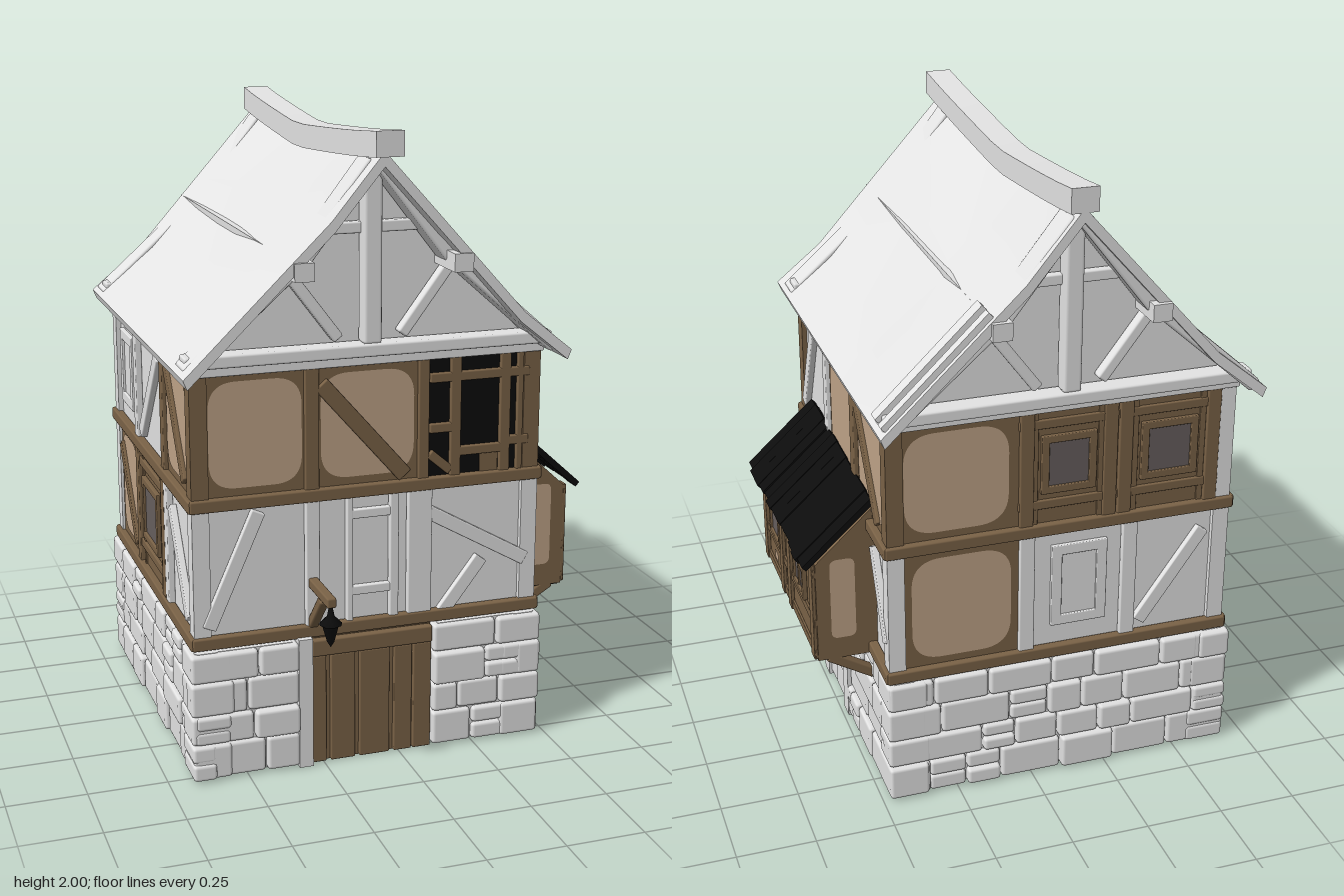
import * as THREE from 'three';
import { toCreasedNormals } from 'three/addons/utils/BufferGeometryUtils.js';
import { RoundedBoxGeometry } from 'three/addons/geometries/RoundedBoxGeometry.js';

const mat = (name, color) => Object.assign(new THREE.MeshStandardMaterial({ color }), { name });

export function createModel() {
  const pale = mat('pale grey', 0xe4e4e4), wood = mat('brown wood', 0x7b6347), tan = mat('tan plaster', 0xc0a488);
  const black = mat('black', 0x0c0c0c), glass = mat('window grey', 0x675f5e);
  const model = new THREE.Group();
  model.name = 'timberHouse';
  let seed = 7;
  const rnd = () => (seed = (seed * 16807) % 2147483647) / 2147483647;

  const add = (parent, name, geo, m, x = 0, y = 0, z = 0) => {
    const mesh = new THREE.Mesh(geo, m);
    mesh.name = name;
    mesh.position.set(x, y, z);
    parent.add(mesh);
    return mesh;
  };
  const box = (p, name, m, x0, x1, y0, y1, z0, z1) =>
    add(p, name, new THREE.BoxGeometry(x1 - x0, y1 - y0, z1 - z0), m, (x0 + x1) / 2, (y0 + y1) / 2, (z0 + z1) / 2);
  // Timber between two points of a wall, d = how far it stands out
  const bar = (p, m, u1, y1, u2, y2, w = 0.045, d = 0.022, z = 0) => {
    const len = Math.hypot(u2 - u1, y2 - y1);
    const b = add(p, 'timber', new RoundedBoxGeometry(len, w, d, 1, Math.min(w, d) * 0.2), m, (u1 + u2) / 2, (y1 + y2) / 2, z + d / 2);
    b.rotation.z = Math.atan2(y2 - y1, u2 - u1);
  };
  const plate = (p, name, m, u0, u1, y0, y1, z = 0) => box(p, name, m, u0, u1, y0, y1, z, z + 0.008);
  // Rounded patch of tan plaster
  const patch = (p, u0, u1, y0, y1, z = 0.011) => {
    const r = Math.min(u1 - u0, y1 - y0) * 0.3, s = new THREE.Shape();
    s.moveTo(u0 + r, y0).lineTo(u1 - r, y0).quadraticCurveTo(u1, y0, u1, y0 + r).lineTo(u1, y1 - r);
    s.quadraticCurveTo(u1, y1, u1 - r, y1).lineTo(u0 + r, y1).quadraticCurveTo(u0, y1, u0, y1 - r);
    s.lineTo(u0, y0 + r).quadraticCurveTo(u0, y0, u0 + r, y0);
    add(p, 'plasterPatch', new THREE.ShapeGeometry(s), tan, 0, 0, z);
  };
  const tanBay = (p, u0, u1, y0, y1) => {
    plate(p, 'panelEdge', wood, u0, u1, y0, y1);
    patch(p, u0 + 0.03, u1 - 0.03, y0 + 0.03, y1 - 0.03);
  };
  // Framed window: four bars around a thin pane
  const windowFrame = (p, m, u0, u1, y0, y1, z = 0.008, w = 0.025) => {
    plate(p, 'pane', m === wood ? glass : pale, u0, u1, y0, y1, z);
    for (const u of [u0, u1]) bar(p, m, u, y0 - w / 2, u, y1 + w / 2, w, 0.016, z);
    for (const y of [y0, y1]) bar(p, m, u0, y, u1, y, w, 0.016, z);
  };
  const windowBay = (p, u0, u1, y0, y1) => {
    const c = (u0 + u1) / 2, h = (u1 - u0) * 0.24;
    plate(p, 'boarding', wood, u0, u1, y0, y1);
    for (const u of [u0 + 0.025, u1 - 0.025]) bar(p, wood, u, y0, u, y1, 0.045);
    for (const s of [-1, 1]) bar(p, wood, c + s * (h + 0.03), y0, c + s * (h + 0.03), y1, 0.02, 0.014);
    for (const y of [y0 + 0.07, y1 - 0.05]) bar(p, wood, u0, y, u1, y, 0.03, 0.018);
    windowFrame(p, wood, c - h, c + h, y0 + 0.12, y1 - 0.1);
  };

  // House core and the four wall frames (local x runs along each wall, local z points out)
  box(model, 'plasterCore', pale, -0.64, 0.45, 0.42, 1.31, -0.59, 0.49);
  const wall = (name, x, z, ry) => {
    const g = new THREE.Group();
    g.name = name;
    g.position.set(x, 0, z);
    g.rotation.y = ry;
    model.add(g);
    return g;
  };
  const front = wall('frontWall', 0, 0.49, 0), right = wall('sideWallWithBay', 0.45, 0, Math.PI / 2);
  const back = wall('backWall', 0, -0.59, Math.PI), left = wall('plainSideWall', -0.64, 0, -Math.PI / 2);

  // Stone base: thin backing with courses of uneven blocks, open inside
  const stones = (p, u0, u1, out) => {
    box(p, 'mortar', pale, u0 + 0.02, u1 - 0.02, 0.01, 0.42, out - 0.09, out - 0.025);
    let y = 0.005;
    for (const h of [0.115, 0.095, 0.11, 0.095]) {
      for (let u = u0; u < u1 - 0.01;) {
        let w = 0.08 + rnd() * 0.15;
        if (u + w > u1 - 0.07) w = u1 - u;
        const d = 0.11 + rnd() * 0.03, split = w < 0.13 && rnd() < 0.5 ? 2 : 1;
        for (let k = 0; k < split; k++)
          add(p, 'stone', new RoundedBoxGeometry(w - 0.004, h / split - 0.003, d, 1, 0.012), pale,
            u + w / 2, y + h * (k + 0.5) / split, out - 0.06 - rnd() * 0.012);
        u += w;
      }
      y += h;
    }
  };
  stones(front, -0.68, -0.33, 0.055);
  stones(front, 0.11, 0.48, 0.055);
  stones(right, -0.545, 0.63, 0.03);
  stones(back, -0.48, 0.68, 0.04);
  stones(left, -0.63, 0.545, 0.04);
  for (const u of [-0.18, 0.09]) box(right, 'stonePost', pale, u - 0.03, u + 0.03, 0, 0.42, -0.05, 0.035);

  // Door of vertical planks
  box(front, 'stonePost', pale, -0.335, -0.29, 0, 0.43, -0.06, 0.05);
  box(front, 'door', wood, -0.29, 0.11, 0, 0.42, -0.03, 0.015);
  for (const [u, w] of [[-0.265, 0.05], [-0.185, 0.08], [-0.08, 0.1], [0.015, 0.06], [0.08, 0.06]])
    bar(front, wood, u, 0, u, 0.36, w, 0.02, 0.01);
  bar(front, wood, -0.29, 0.39, 0.11, 0.39, 0.055, 0.03, 0.01);

  // Horizontal belts round the house and corner posts
  for (const [p, a, b] of [[front, -0.665, 0.475], [right, -0.515, 0.615], [back, -0.475, 0.665], [left, -0.615, 0.515]]) {
    bar(p, wood, a, 0.885, b, 0.885, 0.04, 0.03);
    bar(p, wood, a, 0.445, b, 0.445, 0.04, 0.03);
    bar(p, pale, a, 1.295, b, 1.295, 0.03, 0.025);
  }
  for (const [x, z, m] of [[-0.63, 0.48, wood], [0.44, 0.48, wood], [0.44, -0.58, wood], [-0.63, -0.58, pale]]) {
    box(model, 'upperCornerPost', m, x - 0.027, x + 0.027, 0.9, 1.3, z - 0.027, z + 0.027);
    box(model, 'lowerCornerPost', pale, x - 0.027, x + 0.027, 0.46, 0.87, z - 0.027, z + 0.027);
  }

  // Front, upper floor
  tanBay(front, -0.63, -0.28, 0.9, 1.29);
  tanBay(front, -0.28, 0.08, 0.9, 1.29);
  bar(front, wood, -0.28, 0.9, -0.28, 1.29);
  bar(front, wood, -0.25, 1.23, 0.02, 0.92, 0.05);
  plate(front, 'darkOpening', black, 0.1, 0.43, 0.9, 1.29);
  for (const u of [0.08, 0.185, 0.35]) bar(front, wood, u, 0.9, u, 1.29, 0.035);
  bar(front, wood, 0.4, 0.9, 0.4, 1.29, 0.02);
  for (const [a, b, y] of [[0.1, 0.43, 1.22], [0.19, 0.35, 0.98], [0.1, 0.19, 1.06], [0.35, 0.43, 1.0]]) bar(front, wood, a, y, b, y, 0.03);
  bar(front, wood, 0.1, 0.98, 0.17, 0.92, 0.03);
  plate(front, 'sillBoard', wood, 0.27, 0.33, 0.9, 0.97, 0.004);
  // Front, lower floor
  for (const [u, w] of [[-0.28, 0.045], [-0.16, 0.02], [-0.015, 0.03], [0.07, 0.08]]) bar(front, pale, u, 0.46, u, 0.87, w, 0.025);
  for (const y of [0.56, 0.81]) bar(front, pale, -0.16, y, -0.015, y, 0.03);
  bar(front, pale, -0.61, 0.49, -0.45, 0.85);
  bar(front, pale, 0.1, 0.79, 0.43, 0.6);
  bar(front, pale, 0.15, 0.45, 0.28, 0.62);

  // Bay side of the house
  tanBay(right, -0.11, 0.22, 0.9, 1.29);
  tanBay(right, 0.24, 0.59, 0.9, 1.29);
  bar(right, wood, 0.23, 0.9, 0.23, 1.29, 0.05);
  bar(right, wood, 0.26, 1.25, 0.5, 0.93);
  bar(right, pale, -0.12, 0.9, -0.12, 1.29);
  bar(right, pale, -0.45, 0.93, -0.29, 1.27);
  bar(right, pale, -0.47, 0.82, -0.3, 0.68);
  bar(right, pale, -0.47, 0.5, -0.34, 0.62);
  bar(right, pale, 0.43, 0.82, 0.57, 0.55);

  // Back wall
  tanBay(back, -0.44, -0.05, 0.9, 1.29);
  windowBay(back, -0.05, 0.27, 0.9, 1.29);
  windowBay(back, 0.27, 0.61, 0.9, 1.29);
  tanBay(back, -0.42, -0.04, 0.46, 0.87);
  for (const u of [-0.02, 0.32]) bar(back, pale, u, 0.46, u, 0.87, 0.05);
  windowFrame(back, pale, 0.08, 0.23, 0.55, 0.8, 0, 0.035);
  bar(back, pale, 0.36, 0.5, 0.57, 0.8);

  // Plain side wall
  tanBay(left, 0.15, 0.46, 0.9, 1.29);
  bar(left, wood, 0.15, 0.9, 0.15, 1.29);
  bar(left, wood, 0.2, 1.25, 0.42, 0.94);
  bar(left, pale, -0.24, 0.9, -0.24, 1.29);
  windowFrame(left, pale, -0.48, -0.33, 0.98, 1.2, 0, 0.035);
  bar(left, pale, -0.18, 0.93, 0.08, 1.25);
  tanBay(left, -0.56, -0.27, 0.46, 0.87);
  bar(left, wood, -0.52, 0.8, -0.3, 0.5);
  windowBay(left, -0.27, 0.15, 0.46, 0.87);
  bar(left, pale, 0.17, 0.46, 0.17, 0.87);
  bar(left, pale, 0.22, 0.8, 0.43, 0.5);

  // Projecting bay with black lean-to roof
  const baySide = new THREE.Shape([[0.44, 0.425], [0.645, 0.425], [0.645, 0.77], [0.44, 0.96]].map(q => new THREE.Vector2(...q)));
  add(model, 'bay', new THREE.ExtrudeGeometry(baySide, { depth: 0.74, bevelEnabled: false }), wood, 0, 0, -0.41);
  box(model, 'bayUnderside', black, 0.46, 0.64, 0.419, 0.425, -0.4, 0.32);
  const bayFront = wall('bayFront', 0.645, 0, Math.PI / 2), bayCheek = wall('bayCheek', 0, 0.33, 0), bayCheekBack = wall('bayCheek', 0, -0.41, Math.PI);
  patch(bayCheek, 0.52, 0.6, 0.5, 0.78, 0.003);
  patch(bayCheekBack, -0.6, -0.52, 0.5, 0.78, 0.003);
  for (const u of [-0.305, -0.05, 0.06, 0.385]) bar(bayFront, wood, u, 0.43, u, 0.77, 0.045, 0.012);
  for (const y of [0.45, 0.56, 0.74]) bar(bayFront, wood, -0.33, y, 0.41, y, 0.03, 0.008);
  windowFrame(bayFront, wood, -0.2, -0.07, 0.59, 0.69, 0, 0.02);
  windowFrame(bayFront, wood, 0.15, 0.28, 0.59, 0.69, 0, 0.02);
  bar(bayFront, wood, 0.215, 0.6, 0.215, 0.68, 0.012, 0.014);
  patch(bayFront, -0.17, -0.12, 0.495, 0.53, 0.009);
  for (let i = 0; i < 13; i++) {
    const len = 0.3 + rnd() * 0.02;
    const s = add(model, 'bayRoofStrip', new THREE.BoxGeometry(len, 0.02, 0.06), black, 0.575 + (len - 0.31) * 0.4, 0.872 + rnd() * 0.006, 0.317 - i * 0.0593);
    s.rotation.z = -0.74;
  }
  for (const z of [0.31, -0.04, -0.39]) bar(wall('bayBracket', 0, z - 0.018, 0), wood, 0.46, 0.34, 0.61, 0.43, 0.035, 0.036);

  // Lantern on a bracket arm
  const arm = wall('lanternArm', -0.295, 0, -Math.PI / 2);
  bar(arm, wood, 0.48, 0.605, 0.7, 0.605, 0.032, 0.03, -0.03);
  bar(arm, wood, 0.49, 0.45, 0.62, 0.59, 0.03, 0.03, -0.03);
  const lamp = [[0, 0.46], [0.012, 0.48], [0.026, 0.53], [0.036, 0.535], [0.012, 0.56], [0.006, 0.59], [0, 0.59]];
  add(model, 'lantern', new THREE.LatheGeometry(lamp.map(q => new THREE.Vector2(...q)), 8), black, -0.28, 0, 0.685);

  // Gables: plaster wall with pale timbers, centred under the ridge
  const gable = new THREE.Shape([[-0.545, 1.3], [0.545, 1.3], [0.26, 1.6], [0, 1.9], [-0.26, 1.6]].map(q => new THREE.Vector2(...q)));
  for (const [p, c] of [[front, -0.1], [back, 0.1]]) {
    add(p, 'gableWall', new THREE.ExtrudeGeometry(gable, { depth: 0.04, bevelEnabled: false }), pale, c, 0, -0.04);
    bar(p, pale, c - 0.58, 1.335, c + 0.58, 1.335, 0.04, 0.07);
    bar(p, pale, c, 1.35, c, 1.93, 0.06, 0.06);
    bar(p, pale, c - 0.16, 1.7, c + 0.16, 1.7, 0.035, 0.03);
    for (const k of [-1, 1]) {
      bar(p, pale, c + k * 0.58, 1.31, c + k * 0.24, 1.61, 0.045, 0.1);
      bar(p, pale, c + k * 0.25, 1.59, c + k * 0.01, 1.9, 0.045, 0.1);
      bar(p, pale, c + k * 0.25, 1.57, c + k * 0.1, 1.37, 0.035, 0.04);
    }
  }
  for (const x of [-0.345, 0.145]) box(model, 'purlin', pale, x - 0.03, x + 0.03, 1.575, 1.63, -0.725, 0.655);

  // Sagging roof slopes built from cross-sections [z, distance of the crease from the ridge]
  const sag = z => -0.06 * Math.max(0, 1 - Math.abs(z + 0.08) / (z > -0.08 ? 0.75 : 0.62)) ** 0.8;
  const slope = (side, sections) => {
    const pos = [], idx = [], n = 10;
    const quad = (a, b, c, d) => side > 0 ? idx.push(a, b, c, a, c, d) : idx.push(a, c, b, a, d, c);
    for (const [z, c] of sections) {
      const top = 1.94 + sag(z), yc = 1.955 - 1.42 * c + 0.6 * c * c, eave = 0.605;
      const pts = [[0, top], [c / 2, (top + yc) / 2], [c, yc], [(c + eave) / 2, (yc + 1.312) / 2], [eave, 1.312]];
      for (const [d, y] of pts) pos.push(-0.1 + side * d, y, z);
      for (const [d, y] of pts.reverse()) pos.push(-0.1 + side * (d - 0.012), y - 0.03, z);
    }
    const last = (sections.length - 1) * n;
    for (let i = 0; i < last; i += n)
      for (let k = 0; k < n; k++) quad(i + k, i + (k + 1) % n, i + n + (k + 1) % n, i + n + k);
    for (let k = 0; k < 4; k++) {
      quad(k, 9 - k, 8 - k, k + 1);
      quad(last + k, last + k + 1, last + 8 - k, last + 9 - k);
    }
    const g = new THREE.BufferGeometry();
    g.setAttribute('position', new THREE.Float32BufferAttribute(pos, 3));
    g.setIndex(idx);
    add(model, 'roofSlope', toCreasedNormals(g, 0.7), pale);
  };
  slope(1, [[0.645, 0.45], [0.2, 0.45], [-0.21, 0.45], [-0.26, 0.28], [-0.43, 0.17], [-0.71, 0.17]]);
  slope(-1, [[0.645, 0.16], [0.4, 0.16], [0, 0.28], [-0.35, 0.36], [-0.71, 0.44]]);

  // Ridge beam bent to the sag
  const ridge = new THREE.BoxGeometry(0.085, 0.075, 1.4, 1, 1, 12).translate(-0.1, 1.963, -0.01), rp = ridge.attributes.position;
  for (let i = 0; i < rp.count; i++) rp.setY(i, rp.getY(i) + sag(rp.getZ(i)));
  ridge.computeVertexNormals();
  add(model, 'ridgeBeam', ridge, pale);

  // Loose battens over the worn back corner of the roof
  for (const [z, d] of [[-0.61, 0.045], [-0.68, 0.03]])
    add(model, 'roofBatten', new THREE.BoxGeometry(0.45, 0.025, d), pale, 0.33, 1.49, z).rotation.z = -0.77;

  return model;
}
